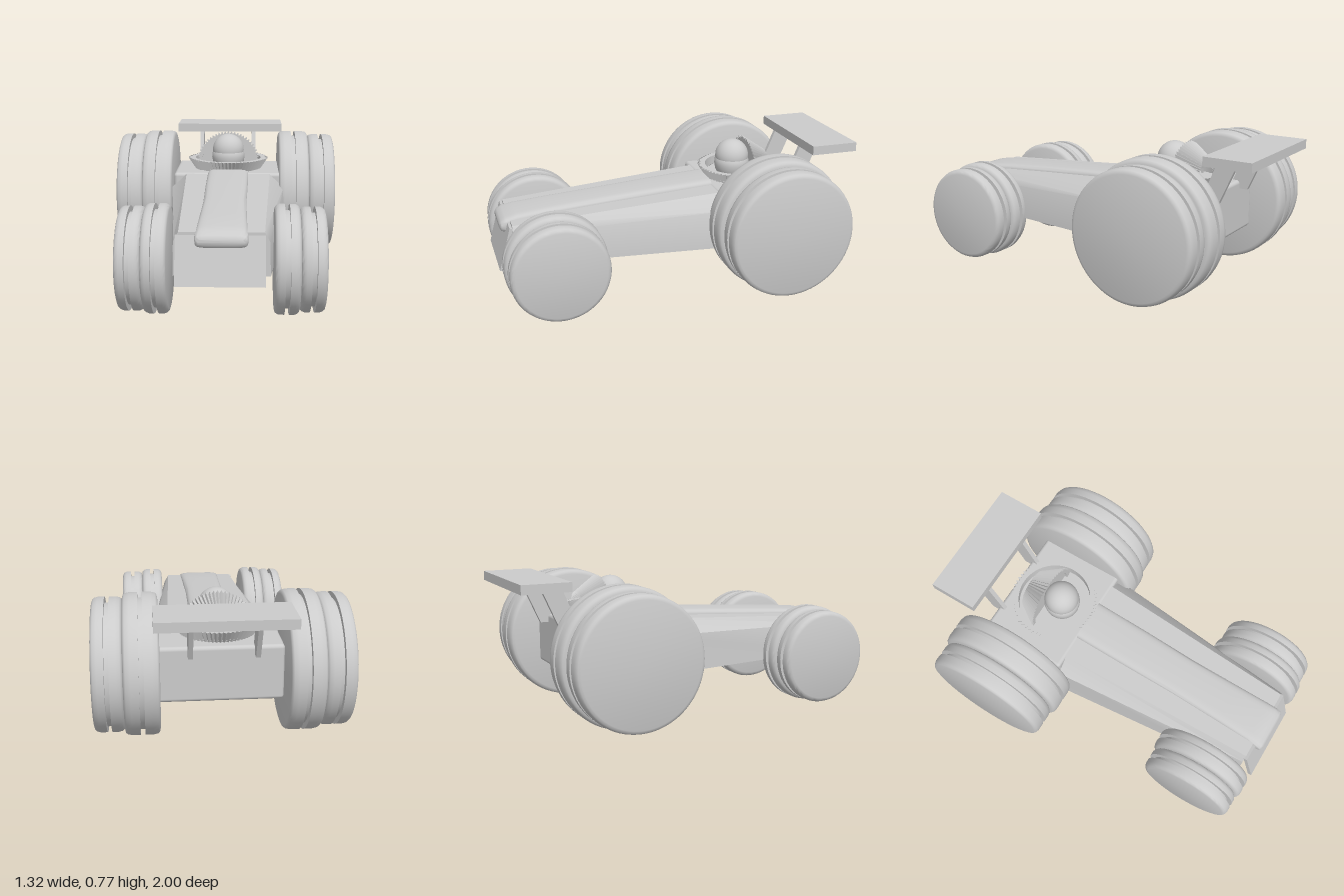
import * as THREE from 'three';
import { toCreasedNormals } from 'three/addons/utils/BufferGeometryUtils.js';
import { RoundedBoxGeometry } from 'three/addons/geometries/RoundedBoxGeometry.js';

const material = new THREE.MeshStandardMaterial({ color: 0xcccccc });
const CX = 0.015; // body centre line

function add(parent, name, geometry, x = 0, y = 0, z = 0) {
  const mesh = new THREE.Mesh(geometry, material);
  mesh.name = name;
  mesh.position.set(x, y, z);
  parent.add(mesh);
  return mesh;
}

// Skin through equal-length rings, counter-clockwise seen from +z, ordered by rising z
function loft(rings, crease) {
  const n = rings[0].length, index = [];
  for (let i = 0; i < rings.length - 1; i++) {
    for (let j = 0; j < n; j++) {
      const a = i * n + j, b = i * n + (j + 1) % n;
      index.push(a, b, b + n, a, b + n, a + n);
    }
  }
  const last = (rings.length - 1) * n;
  for (let j = 1; j < n - 1; j++) {
    index.push(0, j + 1, j, last, last + j, last + j + 1);
  }
  const geometry = new THREE.BufferGeometry();
  geometry.setAttribute('position', new THREE.Float32BufferAttribute(rings.flat(2), 3));
  geometry.setIndex(index);
  return toCreasedNormals(geometry, crease);
}

const lathe = (points, segments, crease = 0.6) => toCreasedNormals(
  new THREE.LatheGeometry(points.map(p => new THREE.Vector2(...p)), segments), crease);

// Tyre with rounded shoulders and one tread groove, axis along y
function tyre(r, width) {
  const h = width / 2, g = 0.012, d = 0.03;
  const half = [[r - d, g], [r, g], [r, h * 0.6], [r - 0.005, h - 0.012],
    [r - 0.012, h - 0.004], [r - 0.025, h], [0, h + 0.003]];
  const mirrored = half.map(([x, y]) => [x, -y]).reverse();
  return lathe([...mirrored, ...half], 72);
}

// Flared dish with a toothed outside and a recessed floor, rim at y = 0
function toothedDish(r, depth, rim, recess, teeth) {
  const pts = [[r - depth * 0.68, -depth], [r, 0], [r - rim, 0], [r - rim, -recess], [0, -recess]];
  const geometry = new THREE.LatheGeometry(pts.map(p => new THREE.Vector2(...p)), teeth * 2);
  const pos = geometry.attributes.position;
  for (let i = 0; i < pos.count; i++) {
    const column = Math.floor(i / pts.length);
    if (column % 2 && i % pts.length < 2) {
      pos.setX(i, pos.getX(i) * 0.92);
      pos.setZ(i, pos.getZ(i) * 0.92);
    }
  }
  return toCreasedNormals(geometry, 0.3);
}

export function createModel() {
  const car = new THREE.Group();
  car.name = 'raceCar';

  // Rear hull
  add(car, 'rearHull', new RoundedBoxGeometry(0.66, 0.295, 0.49, 3, 0.02), 0.02, 0.3975, -0.455);

  // Tapered front hull: z, bottom half width, shoulder and deck half widths and heights
  const hull = [
    [-0.22, 0.35, 0.335, 0.46, 0.25, 0.54],
    [0.92, 0.235, 0.23, 0.42, 0.205, 0.465],
  ].map(([z, wb, ws, ys, wt, yt]) => [
    [-wb, 0.25], [wb, 0.25], [ws, ys], [wt, yt], [-wt, yt], [-ws, ys],
  ].map(([x, y]) => [CX + x, y, z]));
  add(car, 'frontHull', loft(hull, 0.5));

  // Rounded spine along the bonnet, drooping over the nose: z, half width, bottom, top
  const spine = [
    [-0.22, 0.122, 0.47, 0.567], [0.1, 0.12, 0.45, 0.548], [0.4, 0.115, 0.43, 0.527],
    [0.7, 0.12, 0.41, 0.505], [0.88, 0.125, 0.395, 0.488], [0.94, 0.128, 0.393, 0.475],
    [0.965, 0.124, 0.4, 0.46], [0.975, 0.11, 0.415, 0.445],
  ].map(([z, w, y0, y1]) => Array.from({ length: 28 }, (_, i) => {
    const a = i / 28 * Math.PI * 2, c = Math.cos(a), s = Math.sin(a);
    return [
      CX + w * Math.sign(c) * Math.abs(c) ** 0.35,
      (y0 + y1) / 2 + (y1 - y0) / 2 * Math.sign(s) * Math.abs(s) ** 0.5,
      z,
    ];
  }));
  add(car, 'spine', loft(spine, 0.9));

  // Slanted nose plate
  const plate = [[0.915, 0.45], [0.98, 0.215], [1, 0.22], [0.935, 0.455]];
  const plateShape = new THREE.Shape(plate.map(([z, y]) => new THREE.Vector2(-z, y)));
  const plateGeometry = new THREE.ExtrudeGeometry(plateShape, { depth: 0.43, bevelEnabled: false });
  plateGeometry.rotateY(Math.PI / 2);
  add(car, 'nosePlate', plateGeometry, -0.205);

  // Cockpit ring and upright toothed headrest
  add(car, 'cockpitRing', toothedDish(0.247, 0.09, 0.045, 0.052, 64), 0.01, 0.608, -0.44);
  const headrest = add(car, 'headrest', toothedDish(0.197, 0.125, 0.032, 0.015, 60), 0.01, 0.57, -0.463);
  headrest.rotation.x = Math.PI / 2;

  // Driver
  add(car, 'driverHead', new THREE.SphereGeometry(0.095, 40, 28), 0.012, 0.665, -0.388);
  add(car, 'driverTorso', lathe([[0, 0], [0.075, 0], [0.094, 0.035], [0.1, 0.07],
    [0.099, 0.09], [0.094, 0.102], [0, 0.108]], 40), 0.012, 0.55, -0.388);

  // Rear wing on two raked struts
  add(car, 'rearWing', new THREE.BoxGeometry(0.675, 0.05, 0.265), 0.0125, 0.755, -0.8675);
  const strut = new THREE.Shape([[0.64, 0.5], [0.745, 0.5], [0.85, 0.735], [0.74, 0.735]]
    .map(p => new THREE.Vector2(...p)));
  for (const x of [-0.168, 0.168]) {
    const geometry = new THREE.ExtrudeGeometry(strut, { depth: 0.024, bevelEnabled: false });
    geometry.rotateY(Math.PI / 2);
    add(car, 'wingStrut', geometry, x - 0.012);
  }

  // Paired wheels: a larger inner tyre and a smaller outer one at each corner
  const axles = [
    { name: 'rearWheel', y: 0.3925, z: -0.5, cx: 0,
      tyres: [[0.32, 0.5, 0.37], [0.5, 0.655, 0.35]] },
    { name: 'frontWheel', y: 0.28, z: 0.72, cx: 0.011,
      tyres: [[0.258, 0.383, 0.275], [0.383, 0.508, 0.262]] },
  ];
  for (const { name, y, z, cx, tyres } of axles) {
    for (const side of [-1, 1]) {
      const wheel = new THREE.Group();
      wheel.name = (side > 0 ? 'left ' : 'right ') + name;
      wheel.position.set(cx, y, z);
      tyres.forEach(([x0, x1, r], i) => {
        const mesh = add(wheel, i ? 'outerTyre' : 'innerTyre', tyre(r, x1 - x0), side * (x0 + x1) / 2);
        mesh.rotation.z = -side * Math.PI / 2;
      });
      car.add(wheel);
    }
  }
  return car;
}
